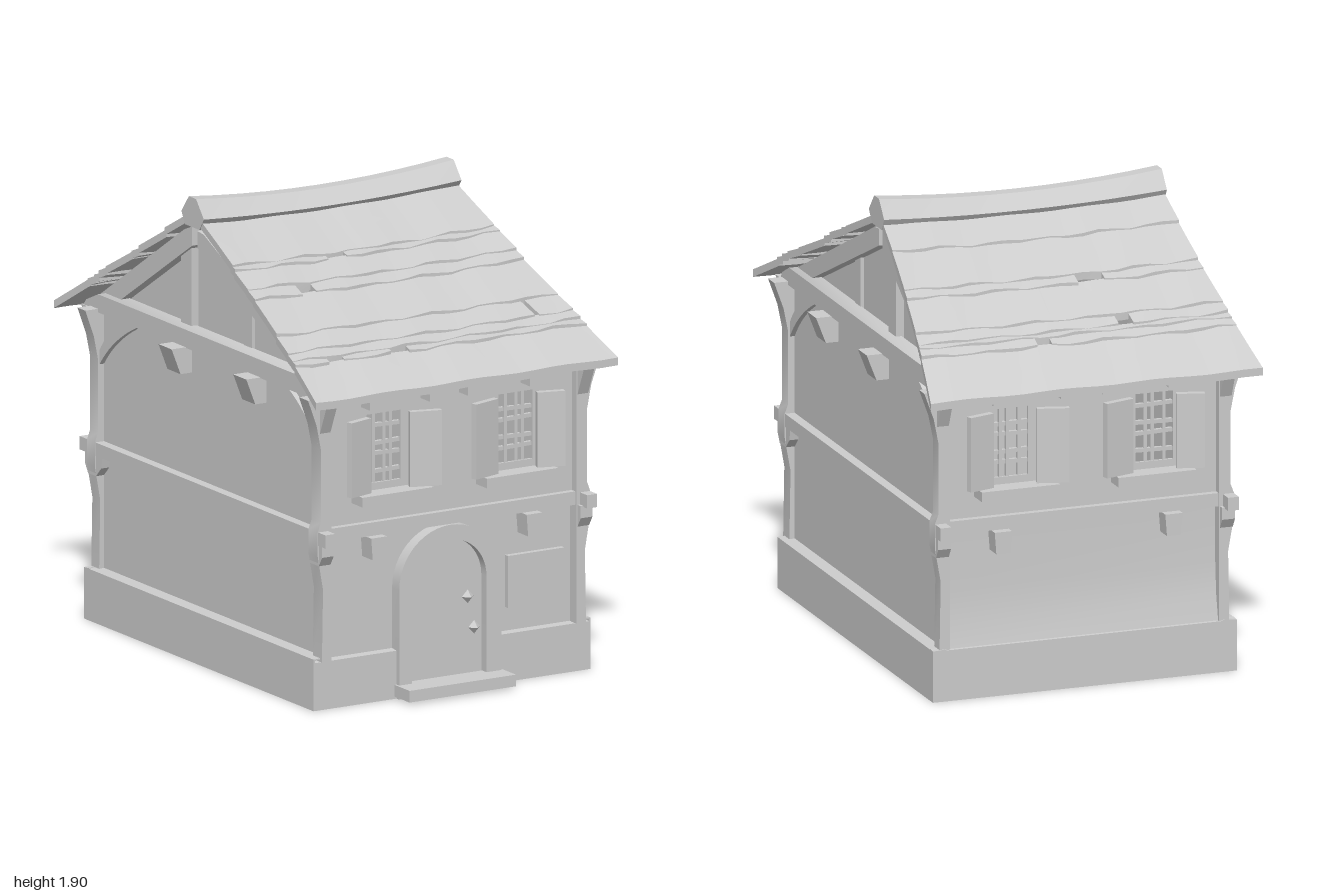
import * as THREE from 'three';
import { toCreasedNormals } from 'three/addons/utils/BufferGeometryUtils.js';

const plaster = new THREE.MeshStandardMaterial({ color: 0xcccccc, side: THREE.DoubleSide });
plaster.name = 'paleGrey';

function add(parent, name, geometry, crease = 0.5) {
  const mesh = new THREE.Mesh(toCreasedNormals(geometry, crease), plaster);
  mesh.name = name;
  parent.add(mesh);
  return mesh;
}

function box(parent, name, x0, x1, y0, y1, z0, z1) {
  const g = new THREE.BoxGeometry(Math.abs(x1 - x0), y1 - y0, Math.abs(z1 - z0));
  g.translate((x0 + x1) / 2, (y0 + y1) / 2, (z0 + z1) / 2);
  return add(parent, name, g);
}

const poly = pts => new THREE.Shape(pts.map(p => new THREE.Vector2(p[0], p[1])));

// Extrudes an (x, y) shape between two z values
function slab(parent, name, shape, za, zb) {
  const g = new THREE.ExtrudeGeometry(shape, { depth: Math.abs(zb - za), bevelEnabled: false, curveSegments: 12 });
  g.translate(0, 0, Math.min(za, zb));
  return add(parent, name, g);
}

// Extrudes a (z, y) shape sideways between two x values
function sideSlab(parent, name, shape, xa, xb) {
  const g = new THREE.ExtrudeGeometry(shape, { depth: Math.abs(xb - xa), bevelEnabled: false, curveSegments: 10 });
  g.rotateY(-Math.PI / 2);
  g.translate(Math.max(xa, xb), 0, 0);
  return add(parent, name, g);
}

function archShape(x0, x1, top, y0 = 0) {
  const r = (x1 - x0) / 2, s = new THREE.Shape();
  s.moveTo(x0, y0).lineTo(x1, y0).lineTo(x1, top - r);
  s.absarc((x0 + x1) / 2, top - r, r, 0, Math.PI, false);
  s.lineTo(x0, y0);
  return s;
}

const rect = (x0, x1, y0, y1) => poly([[x0, y0], [x1, y0], [x1, y1], [x0, y1]]);

// Thin footing section: an upright face out at o with a ledge back to i
function footingShape(o, i, top) {
  const t = 0.006 * Math.sign(o);
  return poly([[o, 0], [o, top], [i, top + 0.004], [i, top - 0.002], [o - t, top - 0.006], [o - t, 0]]);
}

// Upper wall, windows, shutters and beam ends; w = wall plane, d = outward direction in z
function upperFace(root, name, w, d) {
  const g = new THREE.Group();
  g.name = name;
  root.add(g);
  const wall = rect(-0.597, 0.597, 0.72, 1.32);
  for (const s of [-1, 1]) wall.holes.push(rect(s * 0.31 - 0.08, s * 0.31 + 0.08, 0.9, 1.185));
  slab(g, 'upperWall', wall, w, w - d * 0.012);
  for (const s of [-1, 1]) {
    const a = s * 0.31 - 0.08, b = s * 0.31 + 0.08;
    for (let i = 1; i < 4; i++) {
      const x = a + 0.04 * i + (i === 2 ? 0.006 : -0.004);
      box(g, 'windowBar', x - 0.007, x + 0.007, 0.9, 1.185, w - d * 0.02, w - d * 0.005);
    }
    for (let i = 1; i < 5; i++) {
      const bar = box(g, 'windowBar', a, b, -0.008, 0.008, w - d * 0.022, w - d * 0.006);
      bar.position.y = 0.895 + 0.058 * i;
      bar.rotation.z = 0.025 * (i % 2 ? 1 : -1);
    }
    box(g, 'windowSill', s * 0.125, s * 0.46, 0.83, 0.87, w - d * 0.01, w + d * 0.085);
    // Shutters stand slightly ajar: one towards the middle, one towards the corner
    for (const [hinge, width] of [[0.2, -0.132], [0.398, 0.115]]) {
      const dir = s * Math.sign(width);
      const pivot = new THREE.Group();
      pivot.name = 'shutter';
      pivot.position.set(s * hinge, 0, w + d * 0.012);
      pivot.rotation.y = -dir * d * 0.28;
      g.add(pivot);
      box(pivot, 'shutterBoard', 0, s * width, 0.87, 1.18, 0, d * 0.028);
    }
  }
  for (const x of [-0.38, -0.1, 0.08, 0.37]) {
    box(g, 'eaveBeamEnd', x - 0.035, x + 0.035, 1.22, 1.29, w - d * 0.01, w + d * 0.07);
  }
  for (const x of [-0.37, 0.36]) {
    slab(g, 'floorBeamEnd', poly([[x - 0.03, 0.6], [x + 0.03, 0.6], [x + 0.037, 0.69], [x - 0.037, 0.69]]),
      w - d * 0.02, w + d * 0.065);
  }
  box(g, 'floorBeam', -0.63, 0.63, 0.69, 0.745, w - d * 0.012, w + d * 0.028);
  box(g, 'wallPlate', -0.6, 0.6, 1.27, 1.32, w - d * 0.012, w + d * 0.02);
}

function buildFront(root) {
  const g = new THREE.Group();
  g.name = 'frontGroundFloor';
  root.add(g);
  const wall = rect(-0.597, 0.597, 0.18, 0.72);
  wall.holes.push(archShape(-0.2, 0.15, 0.63, 0.181));
  slab(g, 'lowerWall', wall, 0.842, 0.85);
  for (const [a, b] of [[-0.65, -0.25], [0.21, 0.65]]) sideSlab(g, 'frontFooting', footingShape(0.885, 0.845, 0.198), a, b);
  // Door with arched surround, step and ironwork
  const surround = archShape(-0.26, 0.22, 0.69);
  surround.holes.push(archShape(-0.2, 0.15, 0.63, 0.001));
  slab(g, 'doorSurround', surround, 0.835, 0.905);
  slab(g, 'door', archShape(-0.2, 0.15, 0.63), 0.85, 0.865);
  box(g, 'doorStep', -0.27, 0.23, 0.01, 0.058, 0.87, 1.0);
  for (const [x, y] of [[0.08, 0.375], [0.11, 0.245]]) {
    const knob = add(g, 'doorKnob', new THREE.OctahedronGeometry(0.028));
    knob.position.set(x, y, 0.875);
  }
  box(g, 'noticeBoard', 0.27, 0.535, 0.3, 0.515, 0.848, 0.875);
}

function buildBack(root) {
  const g = new THREE.Group();
  g.name = 'backGroundFloor';
  root.add(g);
  // Lower wall sweeps out to meet the footing
  sideSlab(g, 'lowerWall', poly([[-0.812, 0.72], [-0.82, 0.72], [-0.82, 0.45], [-0.83, 0.32], [-0.855, 0.2],
    [-0.847, 0.2], [-0.822, 0.32], [-0.812, 0.45]]), -0.6, 0.6);
  sideSlab(g, 'backFooting', footingShape(-0.865, -0.83, 0.212), -0.65, 0.65);
}

// One long side: s = 1 for +x, s = -1 for its mirror
function buildSide(root, s) {
  const g = new THREE.Group();
  g.name = s > 0 ? 'leftSide' : 'rightSide';
  root.add(g);
  const sb = (n, a, b, ...r) => box(g, n, s * a, s * b, ...r);
  const ss = (n, shape, a, b) => sideSlab(g, n, shape, s * a, s * b);

  sb('sideWall', 0.589, 0.597, 0.19, 1.3, -0.82, 0.85);
  slab(g, 'footing', footingShape(s * 0.65, s * 0.592, 0.213), -0.865, 0.885);
  sb('floorBeam', 0.592, 0.638, 0.685, 0.74, -0.92, 0.955);
  ss('tieBeam', poly([[-0.92, 1.275], [0.92, 1.275], [0.9, 1.31], [0.82, 1.35], [-0.8, 1.35], [-0.89, 1.31]]), 0.55, 0.625);
  // Beam ends, tapering underneath
  for (const z of [0.39, -0.18]) {
    slab(g, 'beamEnd', poly([[0.59, 1.17], [0.65, 1.17], [0.692, 1.278], [0.59, 1.278]].map(([x, y]) => [s * x, y])),
      z - 0.05, z + 0.05);
  }
  // Corner posts with flared heads, and curved braces
  for (const [inn, out, d] of [[0.83, 0.9, 1], [-0.8, -0.86, -1]]) {
    const post = poly([[0.575, 0.2], [0.62, 0.2], [0.615, 0.5], [0.64, 0.64], [0.64, 0.74], [0.625, 0.78],
      [0.625, 1.08], [0.645, 1.18], [0.685, 1.29], [0.575, 1.29]].map(([x, y]) => [s * x, y]));
    slab(g, 'cornerPost', post, inn, out);
    ss('floorBracket', poly([[out, 0.6], [out + d * 0.025, 0.64], [out + d * 0.025, 0.69],
      [inn - d * 0.05, 0.69], [inn - d * 0.04, 0.64], [inn, 0.6]]), 0.58, 0.635);
    ss('eaveBracket', poly([[out - d * 0.02, 1.1], [out + d * 0.06, 1.285], [out - d * 0.03, 1.285]]), 0.58, 0.63);
    const brace = new THREE.Shape();
    brace.moveTo(inn, 1.06).quadraticCurveTo(inn - d * 0.1, 1.19, inn - d * 0.3, 1.28);
    brace.lineTo(inn - d * 0.2, 1.28).quadraticCurveTo(inn - d * 0.07, 1.22, inn, 1.12);
    ss('cornerBrace', brace, 0.592, 0.618);
  }
  // Recessed gable, its studs and rafters
  ss('gableWall', poly([[-0.85, 1.3], [0.88, 1.3], [-0.03, 1.74], [-0.12, 1.78], [-0.2, 1.75]]), 0.532, 0.54);
  ss('gableStud', poly([[0.2, 1.33], [0.26, 1.33], [0.26, 1.6], [0.2, 1.63]]), 0.535, 0.555);
  ss('gableStud', poly([[-0.25, 1.33], [-0.17, 1.33], [-0.17, 1.75], [-0.25, 1.71]]), 0.535, 0.575);
  ss('rafter', poly([[0.92, 1.3], [0.76, 1.3], [-0.1, 1.69], [-0.1, 1.76], [-0.05, 1.755]]), 0.535, 0.59);
  ss('rafter', poly([[-0.9, 1.3], [-0.76, 1.3], [-0.14, 1.69], [-0.14, 1.77], [-0.2, 1.745]]), 0.535, 0.59);
}

// Roof slope made of overlapping courses; gaps are missing pieces in x
function buildRoofSlope(root, name, top, eave, courses) {
  const g = new THREE.Group();
  g.name = name;
  root.add(g);
  const span = eave[0] - top[0], d = Math.sign(span);
  courses.forEach(([zEnd, ...gaps], row) => {
    const start = row ? courses[row - 1][0] : top[0];
    const v0 = (start - top[0]) / span - (row ? 0.012 : 0), v1 = (zEnd - top[0]) / span;
    const cuts = [-1, ...gaps.flat().map(x => x / 0.65), 1];
    for (let c = 0; c < cuts.length; c += 2) {
      const u0 = cuts[c], u1 = cuts[c + 1];
      const geo = new THREE.BoxGeometry(1, 1, 1, Math.max(2, Math.round((u1 - u0) * 9)), 1, 2);
      const p = geo.attributes.position;
      for (let i = 0; i < p.count; i++) {
        const u = u0 + (u1 - u0) * (p.getX(i) + 0.5), f = d * p.getZ(i) + 0.5;
        // Ragged lower edge, lifted over the next course
        const ragged = v1 < 0.999 ? 0.006 * Math.sin(u * 17 + row * 2.3) * f : 0;
        const v = v0 + (v1 - v0) * f + ragged;
        const sag = 0.016 * (1 - u * u) * (1 - v);
        const lift = (v1 < 0.999 ? 0.01 : 0) * f + 0.003 * Math.sin(u * 11 + row * 1.7);
        const y = top[1] + (eave[1] - top[1]) * v - sag + lift + (p.getY(i) - 0.5) * 0.032;
        p.setXYZ(i, u * (0.6 + 0.05 * v + 0.06 * v * v), y, top[0] + span * v);
      }
      add(g, 'roofCourse', geo, 0.6);
    }
  });
}

export function createModel() {
  const house = new THREE.Group();
  house.name = 'house';
  buildFront(house);
  buildBack(house);
  upperFace(house, 'frontUpperFloor', 0.865, 1);
  upperFace(house, 'backUpperFloor', -0.83, -1);
  for (const s of [1, -1]) buildSide(house, s);

  buildRoofSlope(house, 'frontRoof', [-0.08, 1.82], [1, 1.305], [
    [0.21], [0.24, [-0.19, -0.1]], [0.35], [0.41, [-0.42, -0.35]], [0.62],
    [0.72, [0.48, 0.5]], [0.77], [0.8, [-0.5, -0.43], [-0.22, -0.14]], [1]]);
  buildRoofSlope(house, 'backRoof', [-0.15, 1.82], [-1, 1.29], [
    [-0.31], [-0.49], [-0.53, [-0.22, -0.1]], [-0.69], [-0.74, [-0.25, -0.19]], [-0.76], [-0.8, [0.11, 0.17]], [-1]]);

  // Ridge cap, sagging most along its top
  const cap = new THREE.ExtrudeGeometry(
    poly([[-0.025, 1.825], [-0.085, 1.897], [-0.14, 1.897], [-0.197, 1.825], [-0.17, 1.775], [-0.06, 1.775]]),
    { depth: 1.21, steps: 10, bevelEnabled: false });
  cap.rotateY(-Math.PI / 2).translate(0.605, 0, 0);
  const p = cap.attributes.position;
  for (let i = 0; i < p.count; i++) {
    const u = p.getX(i) / 0.605, y = p.getY(i);
    p.setY(i, y - (0.012 + (y - 1.775) * 0.18) * (1 - u * u));
  }
  add(house, 'ridgeCap', cap, 0.6);
  return house;
}
